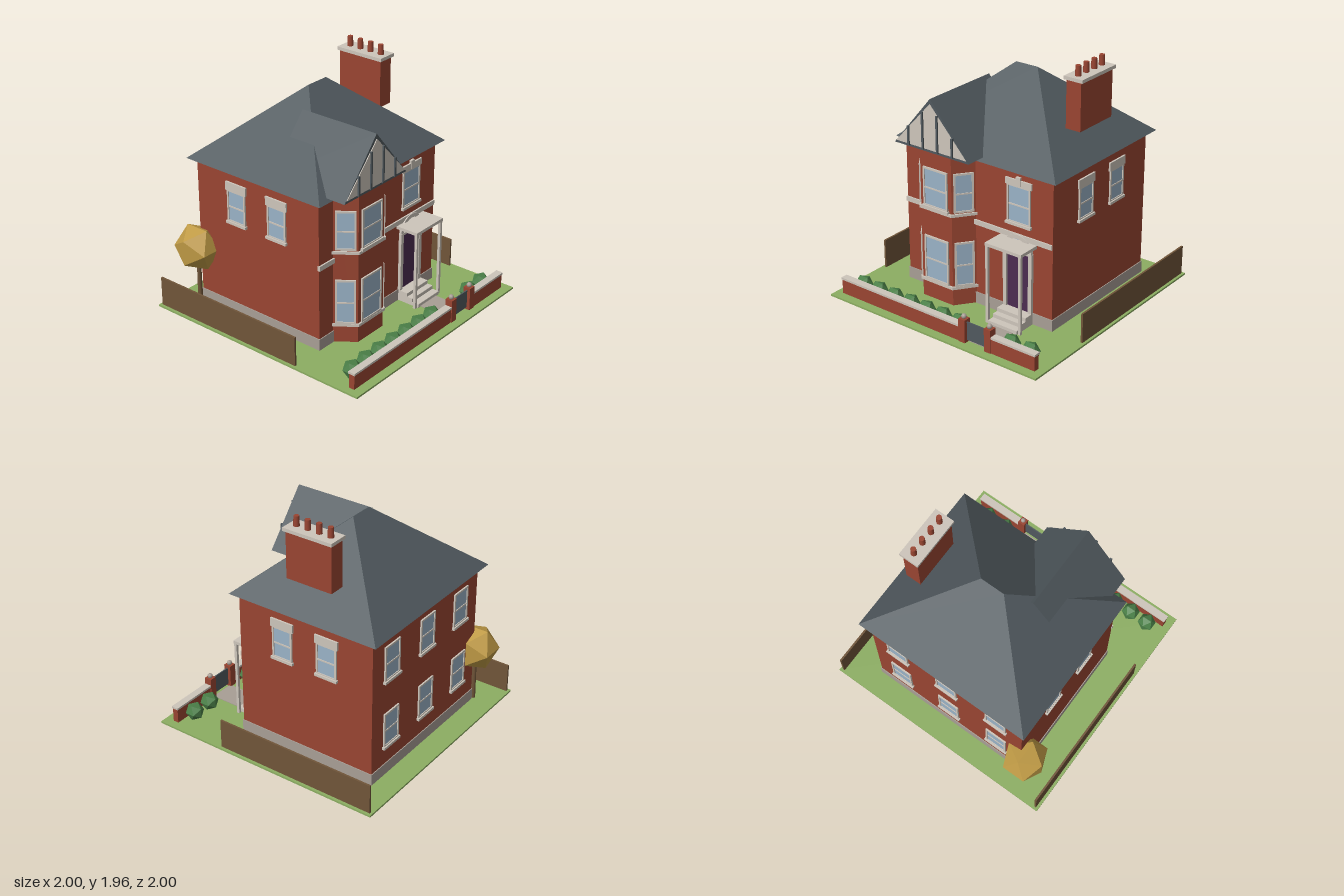
import * as THREE from 'three';

const paint = (name, color) => Object.assign(new THREE.MeshStandardMaterial({ color }), { name });
const M = {
  brick: paint('brick red', 0x994532), cream: paint('cream stone', 0xcdc5bb),
  slate: paint('slate', 0x50595e), glass: paint('window glass', 0x9ab2c6),
  purple: paint('door purple', 0x4c2c50), lawn: paint('lawn green', 0x8cae62),
  bush: paint('bush green', 0x4b8048), gold: paint('autumn gold', 0xbf9a45),
  brown: paint('timber brown', 0x705539), stone: paint('grey stone', 0xa89e95),
};

function add(parent, name, geo, mat, x = 0, y = 0, z = 0) {
  const m = new THREE.Mesh(geo, mat);
  m.name = name;
  m.position.set(x, y, z);
  parent.add(m);
  return m;
}

// Box given by its limits on each axis
function box(parent, name, mat, x0, x1, y0, y1, z0, z1) {
  return add(parent, name, new THREE.BoxGeometry(x1 - x0, y1 - y0, z1 - z0), mat,
    (x0 + x1) / 2, (y0 + y1) / 2, (z0 + z1) / 2);
}

const polygon = (pts) => new THREE.Shape(pts.map(([x, y]) => new THREE.Vector2(x, y)));
const extrude = (shape, depth) =>
  new THREE.ExtrudeGeometry(shape, { depth, bevelEnabled: false, curveSegments: 16 });

// Upright prism from a ground plan of [x, z] points
function planPrism(pts, y0, y1) {
  return extrude(polygon(pts.map(([x, z]) => [x, -z])), y1 - y0).rotateX(-Math.PI / 2).translate(0, y0, 0);
}

// Flat faces, each a convex loop of corners
function faces(loops) {
  const pos = [];
  for (const f of loops)
    for (let i = 1; i < f.length - 1; i++) pos.push(...f[0], ...f[i], ...f[i + 1]);
  const g = new THREE.BufferGeometry();
  g.setAttribute('position', new THREE.Float32BufferAttribute(pos, 3));
  g.computeVertexNormals();
  return g;
}

// Sash window facing +z, with its bottom centre at the group's origin
function sash(parent, name, w, h, x, y, z, ry = 0, { sill = true, lintel = 0, keystone = false } = {}) {
  const g = new THREE.Group();
  g.name = name;
  g.position.set(x, y, z);
  g.rotation.y = ry;
  const a = w / 2, t = 0.015;
  const frame = polygon([[-a, 0], [a, 0], [a, h], [-a, h]]);
  frame.holes.push(polygon([[-a + t, t], [-a + t, h - t], [a - t, h - t], [a - t, t]]));
  add(g, 'windowFrame', extrude(frame, 0.013), M.cream);
  box(g, 'windowGlass', M.glass, -a + t, a - t, t, h - t, 0, 0.006);
  box(g, 'sashBar', M.cream, -a + t, a - t, h * 0.48 - 0.006, h * 0.48 + 0.006, 0, 0.011);
  if (sill) box(g, 'windowSill', M.cream, -a - 0.01, a + 0.01, -0.015, 0.006, 0, 0.024);
  if (lintel) box(g, 'lintel', M.cream, -a - 0.012, a + 0.012, h - 0.008, h + lintel, 0, 0.015);
  if (keystone) box(g, 'keystone', M.cream, -0.02, 0.02, h, h + lintel + 0.025, 0, 0.02);
  parent.add(g);
}

function buildHouse(house) {
  box(house, 'houseWalls', M.brick, -0.7, 0.7, 0.015, 1.24, -0.8, 0.4);
  box(house, 'plinth', M.stone, -0.707, 0.707, 0.015, 0.11, -0.807, 0.407);
  box(house, 'leftBand', M.cream, -0.705, -0.53, 0.69, 0.73, 0.39, 0.413);
  box(house, 'rightBand', M.cream, -0.035, 0.697, 0.69, 0.73, 0.39, 0.413);

  // Hipped main roof
  const A = [-0.755, 1.24, 0.455], B = [0.755, 1.24, 0.455], C = [0.755, 1.24, -0.86], D = [-0.755, 1.24, -0.86];
  const P = [-0.1, 1.8, -0.2], Q = [0.1, 1.8, -0.2];
  add(house, 'mainRoof', faces([[A, B, Q, P], [B, C, Q], [C, D, P, Q], [D, A, P], [D, C, B, A]]), M.slate);

  // Canted bay with its bands and windows
  const cx = -0.28;
  const bayPlan = (o) => [[cx - 0.262 - o, 0.39], [cx - 0.262 - o, 0.4], [cx - 0.15 - o * 0.5, 0.55 + o],
    [cx + 0.15 + o * 0.5, 0.55 + o], [cx + 0.262 + o, 0.4], [cx + 0.262 + o, 0.39]];
  add(house, 'bayWalls', planPrism(bayPlan(0), 0.015, 1.27), M.brick);
  for (const [y0, y1] of [[0.155, 0.178], [0.768, 0.79]])
    add(house, 'bayBand', planPrism(bayPlan(0.015), y0, y1), M.cream);
  for (const [y, h] of [[0.178, 0.372], [0.8, 0.32]]) {
    sash(house, 'bayFrontWindow', 0.235, h, cx, y, 0.55, 0, { sill: y > 0.5 });
    for (const s of [-1, 1])
      sash(house, 'baySideWindow', 0.155, h, cx + s * 0.206, y, 0.475, s * Math.atan2(0.15, 0.112), { sill: false });
  }

  // Half-timbered gable over the bay
  const gx = -0.285;
  add(house, 'gableRoof', extrude(polygon([[gx - 0.358, 1.265], [gx + 0.358, 1.265], [gx, 1.69]]), 0.69), M.slate, 0, 0, -0.1);
  add(house, 'gablePanel', extrude(polygon([[gx - 0.337, 1.287], [gx + 0.337, 1.287], [gx, 1.65]]), 0.006), M.cream, 0, 0, 0.59);
  for (const d of [-0.21, -0.07, 0.07, 0.21])
    box(house, 'gableTimber', M.slate, gx + d - 0.008, gx + d + 0.008, 1.28, 1.648 - 1.02 * Math.abs(d), 0.59, 0.607);

  // Upper front window, side windows and back windows
  sash(house, 'frontWindow', 0.215, 0.31, 0.392, 0.812, 0.4, 0, { lintel: 0.043, keystone: true });
  for (const s of [-1, 1])
    for (const z of [0, -0.4])
      sash(house, 'sideWindow', 0.18, 0.268, s * 0.7, 0.812, z, s * Math.PI / 2, { lintel: 0.062 });
  for (const x of [-0.46, 0, 0.46])
    for (const y of [0.27, 0.843])
      sash(house, 'backWindow', 0.19, 0.29, x, y, -0.8, Math.PI);

  // Chimney stack and pots
  box(house, 'chimneyStack', M.brick, 0.51, 0.64, 1.47, 1.855, -0.4, 0);
  box(house, 'chimneyCap', M.cream, 0.495, 0.66, 1.853, 1.88, -0.415, 0.015);
  for (const z of [-0.05, -0.15, -0.25, -0.35])
    add(house, 'chimneyPot', new THREE.CylinderGeometry(0.021, 0.024, 0.08, 12), M.brick, 0.577, 1.92, z);
}

function buildPorch(porch) {
  const x = 0.39;
  box(porch, 'door', M.purple, x - 0.103, x + 0.103, 0.1, 0.585, 0.39, 0.409);
  box(porch, 'transom', M.cream, x - 0.105, x + 0.105, 0.58, 0.6, 0.39, 0.42);
  const arch = new THREE.Shape().absarc(0, 0, 0.13, 0, Math.PI, false);
  arch.absarc(0, 0, 0.098, Math.PI, 0, true);
  add(porch, 'doorArch', extrude(arch, 0.022), M.cream, x, 0.6, 0.4);
  add(porch, 'fanlight', new THREE.CircleGeometry(0.098, 20, 0, Math.PI), M.glass, x, 0.6, 0.408);
  for (const s of [-1, 1]) {
    box(porch, 'doorPilaster', M.cream, x + s * 0.118 - 0.016, x + s * 0.118 + 0.016, 0.1, 0.6, 0.39, 0.425);
    box(porch, 'porchPost', M.cream, x + s * 0.153 - 0.011, x + s * 0.153 + 0.011, 0.015, 0.662, 0.573, 0.596);
  }
  box(porch, 'porchCanopy', M.cream, x - 0.168, x + 0.168, 0.66, 0.685, 0.4, 0.598);
  [[0.605, 0.045], [0.545, 0.075], [0.495, 0.105]].forEach(([z, y]) =>
    box(porch, 'doorStep', M.cream, x - 0.135, x + 0.135, 0.015, y, 0.4, z));
}

function buildGarden(garden) {
  box(garden, 'lawn', M.lawn, -1, 1, 0, 0.015, -1, 1);
  box(garden, 'path', M.stone, 0.285, 0.49, 0.01, 0.02, 0.6, 0.89);

  // Front wall, gate piers and gate
  for (const [x0, x1] of [[-0.94, 0.27], [0.51, 0.935]]) {
    box(garden, 'frontWall', M.brick, x0, x1, 0.015, 0.137, 0.878, 0.926);
    box(garden, 'wallCoping', M.cream, x0 - 0.005, x1 + 0.005, 0.135, 0.152, 0.872, 0.932);
  }
  for (const x of [0.27, 0.51]) {
    box(garden, 'gatePier', M.brick, x - 0.03, x + 0.03, 0.015, 0.205, 0.871, 0.933);
    add(garden, 'pierBall', new THREE.SphereGeometry(0.021, 12, 8), M.stone, x, 0.221, 0.902);
  }
  box(garden, 'gate', M.slate, 0.3, 0.48, 0.035, 0.185, 0.897, 0.907);

  for (const s of [-1, 1])
    box(garden, 'sideFence', M.brown, s * 0.97 - 0.008, s * 0.97 + 0.008, 0.015, 0.257, -0.98, 0.4);

  // Low faceted bushes behind the wall
  for (const x of [-0.82, -0.66, -0.5, -0.335, -0.175, -0.015, 0.147, 0.635, 0.81])
    add(garden, 'bush', new THREE.IcosahedronGeometry(0.075), M.bush, x, 0.085, 0.81);

  // Tree in the back corner
  add(garden, 'treeTrunk', new THREE.CylinderGeometry(0.016, 0.02, 0.4, 8), M.brown, -0.735, 0.215, -0.8);
  const crown = add(garden, 'treeCrown', new THREE.IcosahedronGeometry(0.19), M.gold, -0.737, 0.492, -0.8);
  crown.rotation.y = Math.PI / 2;
  crown.scale.set(1, 1.03, 0.96);
}

export function createModel() {
  const model = new THREE.Group();
  model.name = 'brickHouse';
  for (const [name, build] of [['house', buildHouse], ['porch', buildPorch], ['garden', buildGarden]]) {
    const g = new THREE.Group();
    g.name = name;
    build(g);
    model.add(g);
  }
  return model;
}
